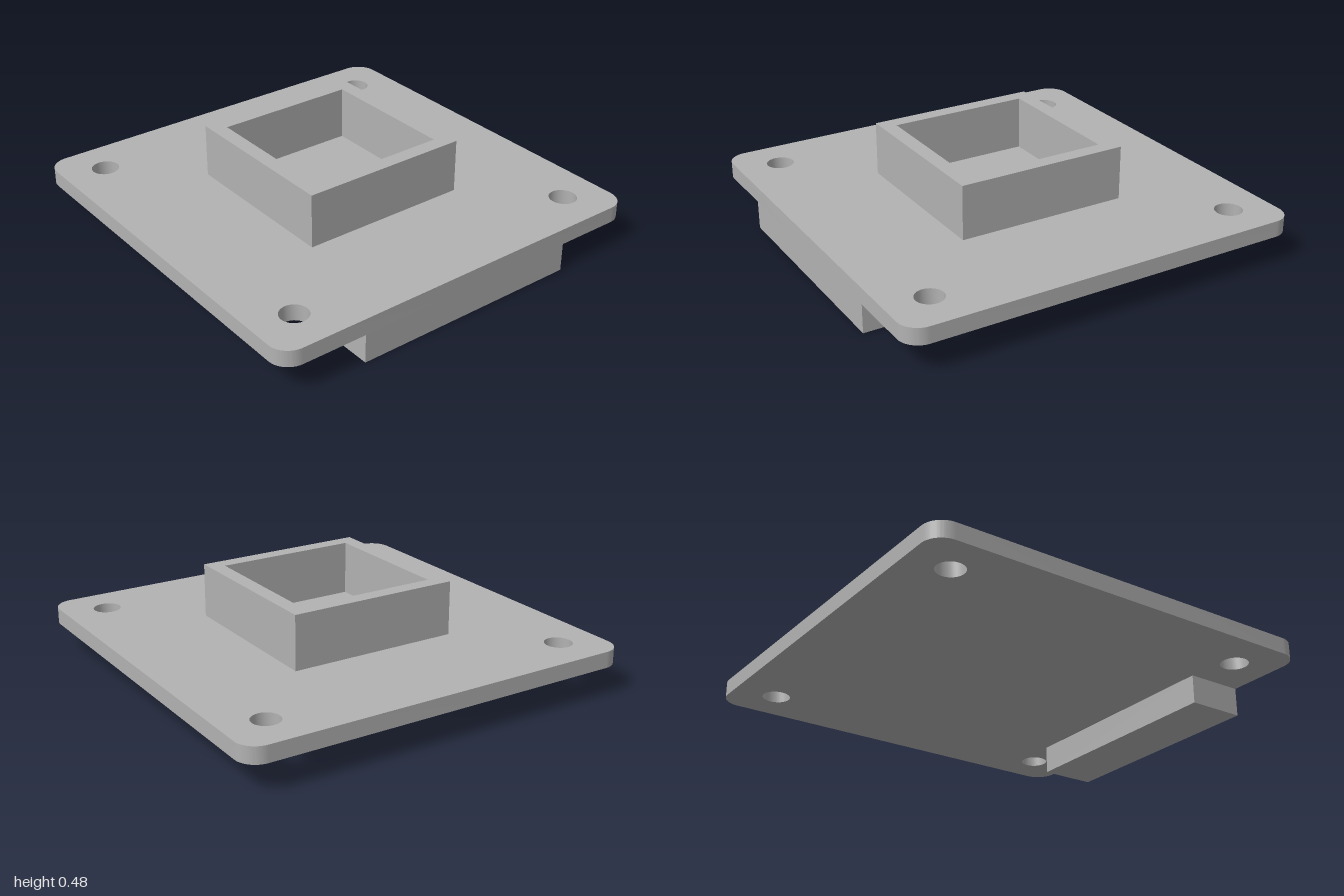
import * as THREE from 'three';
import { toCreasedNormals } from 'three/addons/utils/BufferGeometryUtils.js';

const PLATE_BOTTOM = 0.14, PLATE_TOP = 0.22, WALL_TOP = 0.485;

// Square outline of half-size h, with optional rounded corners
function squareOutline(h, r = 0, Type = THREE.Shape) {
  const s = new Type();
  if (r === 0) {
    s.moveTo(-h, -h).lineTo(h, -h).lineTo(h, h).lineTo(-h, h).closePath();
    return s;
  }
  const c = h - r, q = Math.PI / 2;
  s.moveTo(-c, -h);
  s.absarc(c, -c, r, -q, 0);
  s.absarc(c, c, r, 0, q);
  s.absarc(-c, c, r, q, 2 * q);
  s.absarc(-c, -c, r, 2 * q, 3 * q);
  return s;
}

// Extrude a ground-plan shape upward from y0 to y1
function slab(shape, y0, y1, name, material) {
  let geo = new THREE.ExtrudeGeometry(shape, { depth: y1 - y0, bevelEnabled: false, curveSegments: 16 });
  geo.rotateX(-Math.PI / 2);
  geo.translate(0, y0, 0);
  geo = toCreasedNormals(geo, 0.6);
  const mesh = new THREE.Mesh(geo, material);
  mesh.name = name;
  return mesh;
}

export function createModel() {
  const group = new THREE.Group();
  group.name = 'mountingPlate';
  const grey = new THREE.MeshStandardMaterial({ color: 0xb2b2b2 });
  grey.name = 'plain grey';

  // Rounded base plate with four screw holes
  const plate = squareOutline(1, 0.1);
  for (const x of [-0.79, 0.79]) {
    for (const z of [-0.79, 0.79]) {
      plate.holes.push(new THREE.Path().absarc(x, z, 0.067, 0, Math.PI * 2, true));
    }
  }
  group.add(slab(plate, PLATE_BOTTOM, PLATE_TOP, 'basePlate', grey));

  // Open square socket standing on the plate
  const socket = squareOutline(0.425);
  socket.holes.push(squareOutline(0.35, 0, THREE.Path));
  group.add(slab(socket, PLATE_TOP, WALL_TOP, 'squareSocket', grey));

  // Bar under the front edge
  const bar = new THREE.Mesh(new THREE.BoxGeometry(1.16, PLATE_BOTTOM, 0.28), grey);
  bar.position.set(0, PLATE_BOTTOM / 2, 0.86);
  bar.name = 'frontBar';
  group.add(bar);

  return group;
}
